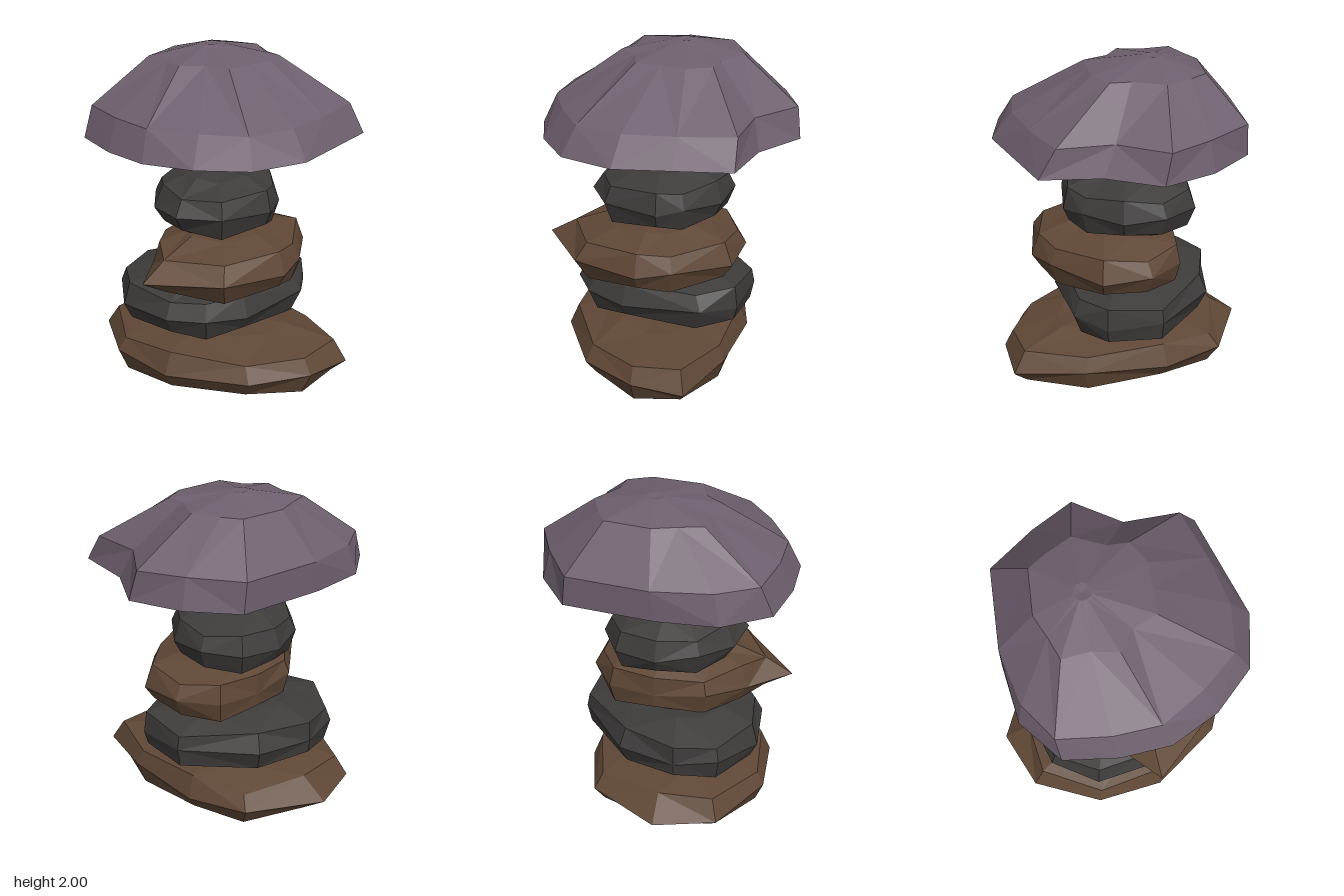
import * as THREE from 'three';

const flat = (color, name) => {
  const m = new THREE.MeshStandardMaterial({ color, flatShading: true });
  m.name = name;
  return m;
};

// Skin a stack of rings (bottom to top); a ring of one point closes an end.
function loft(rings) {
  const pos = [];
  const tri = (a, b, c) => {
    if (a !== b && b !== c && a !== c) pos.push(...a, ...b, ...c);
  };
  for (let j = 0; j < rings.length - 1; j++) {
    const lo = rings[j], hi = rings[j + 1];
    const n = Math.max(lo.length, hi.length);
    for (let i = 0; i < n; i++) {
      const a = lo[i % lo.length], b = lo[(i + 1) % lo.length];
      const c = hi[i % hi.length], d = hi[(i + 1) % hi.length];
      if ((i + j) % 2) { tri(a, c, b); tri(b, c, d); }
      else { tri(a, c, d); tri(a, d, b); }
    }
  }
  const g = new THREE.BufferGeometry();
  g.setAttribute('position', new THREE.Float32BufferAttribute(pos, 3));
  g.computeVertexNormals();
  return g;
}

// Stone from its widest outline [x, z, taper]; taper pulls in the rings above and below.
function stoneGeometry(outline, y0, y1) {
  const n = outline.length, h = y1 - y0;
  const cx = outline.reduce((s, p) => s + p[0], 0) / n;
  const cz = outline.reduce((s, p) => s + p[1], 0) / n;
  const ring = (t, scale, wobble) => outline.map(([x, z, taper = 1], i) => {
    const k = scale === 1 ? 1 : scale * taper;
    return [cx + (x - cx) * k, y0 + h * (t + wobble * Math.sin(i * 2.4 + t * 9)), cz + (z - cz) * k];
  });
  return loft([
    [[cx, y0, cz]],
    ring(0.05, 0.5, 0.02),
    ring(0.23, 0.89, 0.05),
    ring(0.51, 1, 0.03),
    ring(0.79, 0.9, 0.05),
    ring(0.95, 0.52, 0.03),
    [[cx, y1, cz]],
  ]);
}

export function createModel() {
  const brown = flat(0x5f4736, 'brown stone');
  const grey = flat(0x3e3c3b, 'dark stone');
  const mauve = flat(0x6e606e, 'mauve mushroom');
  const model = new THREE.Group();
  const add = (name, geometry, material, parent = model) => {
    const mesh = new THREE.Mesh(geometry, material);
    mesh.name = name;
    parent.add(mesh);
    return mesh;
  };

  // Stacked stones, bottom to top
  add('baseStone', stoneGeometry([
    [0.71, -0.36], [0.74, -0.05, 1.03], [0.6, 0.3], [0.2, 0.6], [-0.2, 0.66, 1.03],
    [-0.6, 0.48], [-0.75, 0.14, 0.88], [-0.55, -0.3], [-0.2, -0.44], [0.3, -0.46, 1.03],
  ], 0, 0.37), brown);
  add('secondStone', stoneGeometry([
    [0.4, 0.15], [0.33, 0.4], [0.15, 0.55], [-0.2, 0.61, 1.03], [-0.47, 0.45, 1.05],
    [-0.55, 0.2, 1.1], [-0.5, -0.15], [-0.16, -0.49, 1.08], [0.17, -0.49, 1.08], [0.34, -0.32],
  ], 0.31, 0.69), grey);
  add('thirdStone', stoneGeometry([
    [0.55, 0], [0.5, 0.4, 0.95], [0.17, 0.72, 0.84], [-0.05, 0.5], [-0.25, 0.3, 1.03],
    [-0.31, 0, 1.1], [-0.3, -0.28, 1.05], [-0.1, -0.45], [0.19, -0.46], [0.46, -0.19],
  ], 0.59, 0.98), brown);
  add('topStone', stoneGeometry([
    [0.36, -0.05, 1.03], [0.33, 0.28], [0.12, 0.45, 0.95], [-0.12, 0.43, 0.95], [-0.32, 0.28],
    [-0.43, 0.05], [-0.4, -0.2], [-0.2, -0.34], [0.05, -0.34], [0.27, -0.19],
  ], 0.91, 1.29), grey);

  // Stem
  const disc = (x, y, z, r, tilt = 0) => Array.from({ length: 8 }, (_, i) => {
    const a = i * Math.PI / 4;
    return [x + r * Math.cos(a), y + tilt * Math.cos(a), z + r * Math.sin(a)];
  });
  add('stem', loft([
    [[-0.085, 1.22, 0.05]], disc(-0.085, 1.22, 0.05, 0.097), disc(-0.108, 1.39, 0.05, 0.103, 0.012),
    disc(-0.1, 1.42, 0.05, 0.075), disc(-0.095, 1.45, 0.05, 0.09), [[-0.1, 1.46, 0.05]],
  ]), mauve);

  // Cap: rim, shoulder and crown rings share fourteen ribs
  const rim = [
    [0.75, 0.04], [0.69, 0.36], [0.47, 0.58], [0.2, 0.72], [-0.09, 0.745], [-0.4, 0.71], [-0.6, 0.47],
    [-0.65, 0.13], [-0.64, -0.4], [-0.4, -0.62], [-0.1, -0.75], [0.2, -0.6], [0.55, -0.58], [0.65, -0.27],
  ];
  const shoulder = [
    [0.63, 0.03], [0.6, 0.31], [0.4, 0.49], [0.15, 0.65], [-0.12, 0.67], [-0.42, 0.64], [-0.57, 0.43],
    [-0.65, 0.1], [-0.64, -0.38], [-0.38, -0.58], [-0.14, -0.72], [0.13, -0.55], [0.45, -0.56], [0.56, -0.26],
  ];
  const crown = [
    [0.2, -0.02], [0.2, 0.13], [0.06, 0.19], [-0.02, 0.31], [-0.17, 0.28], [-0.33, 0.3], [-0.38, 0.17],
    [-0.44, 0.04], [-0.43, -0.23], [-0.33, -0.3], [-0.18, -0.38], [0, -0.3], [0.12, -0.3], [0.2, -0.17],
  ];
  const level = (pts, y) => pts.map(([x, z]) => [x, y, z]);
  const hub = crown.map(([x, z]) => {
    const a = Math.atan2(z + 0.03, x + 0.17);
    return [-0.17 + 0.05 * Math.cos(a), 1.995, -0.03 + 0.05 * Math.sin(a)];
  });
  const rimRing = rim.map(([x, z]) => [x, 1.505 + 0.025 * Math.max(0, x), z]);
  const underRing = rim.map(([x, z]) => [-0.1 + (x + 0.1) * 0.33, 1.457, 0.04 + (z - 0.04) * 0.33]);
  add('cap', loft([
    [[-0.1, 1.447, 0.04]], underRing, rimRing, level(shoulder, 1.68), level(crown, 1.935), hub,
    [[-0.17, 1.988, -0.03]],
  ]), mauve);

  // Thin gills along the underside of each rib
  const gills = new THREE.Group();
  gills.name = 'gills';
  model.add(gills);
  rimRing.forEach((end, i) => {
    const inner = new THREE.Vector3(...underRing[i]);
    const run = new THREE.Vector3(...end).sub(inner);
    const gill = add('gill', new THREE.BoxGeometry(run.length() * 0.68, 0.012, 0.012), mauve, gills);
    gill.position.copy(inner).addScaledVector(run, 0.4);
    gill.rotation.set(0, Math.atan2(-run.z, run.x), Math.asin(run.y / run.length()));
  });
  return model;
}
